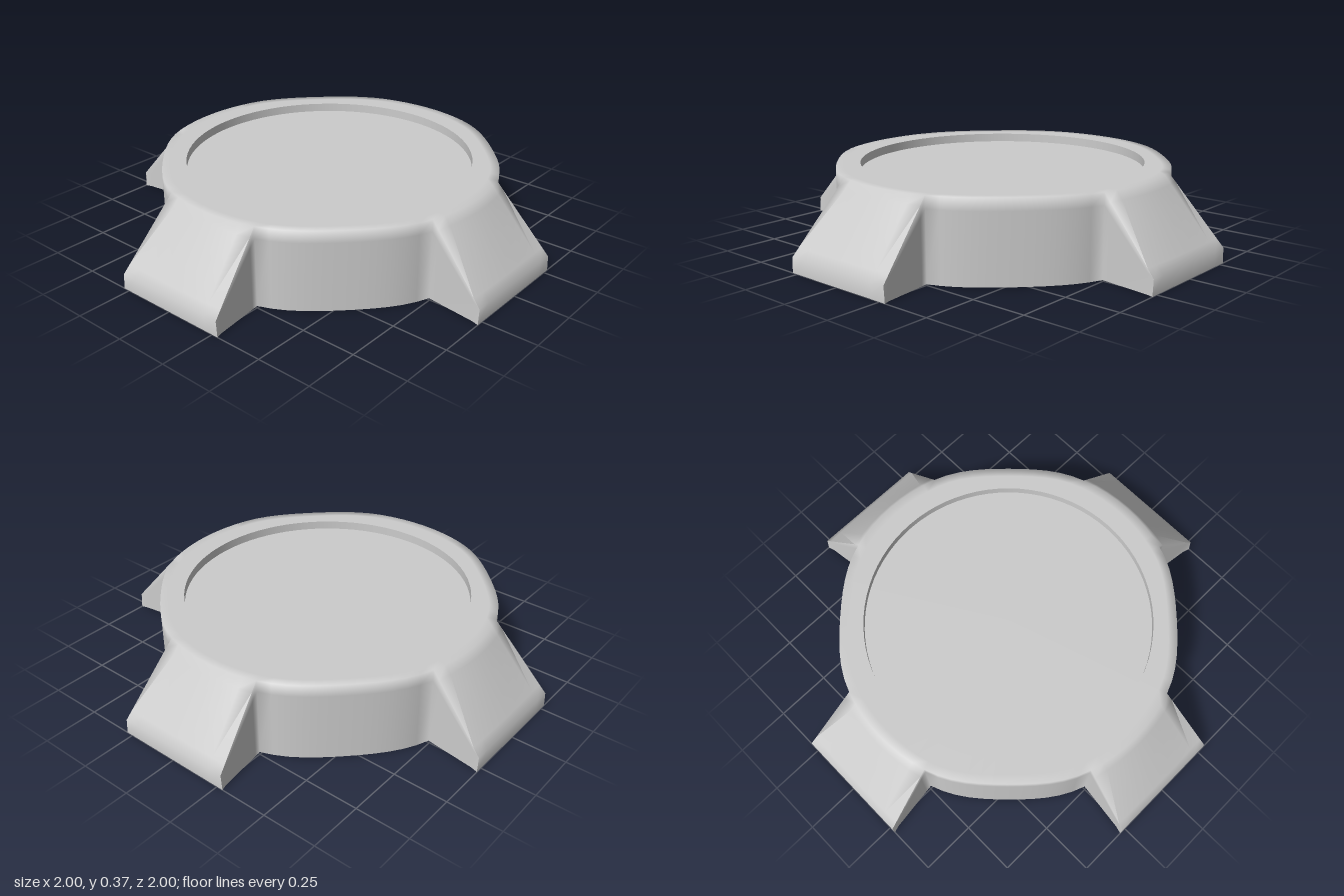
import * as THREE from 'three';
import { mergeGeometries, mergeVertices, toCreasedNormals } from 'three/addons/utils/BufferGeometryUtils.js';

const TOP = 0.365, LIP = 0.07, FLOOR = 0.325, RECESS = 0.65;
const CORNER = Math.PI / 10; // half angle covered by a foot
const STEPS = [0, 0.12, 0.88, 1]; // rim to tip, with loops that tighten the shading

const lerp = THREE.MathUtils.lerp;
const range = (a, b, n) => Array.from({ length: n + 1 }, (_, i) => lerp(a, b, i / n));
const polar = (r, y, a) => [r * Math.sin(a), y, r * Math.cos(a)];

// Plan radius of the body: slightly squared out towards the feet
function bodyRadius(a) {
  if (a <= CORNER) return 0.778;
  return 0.755 + 0.023 * Math.cos(((a - CORNER) / (Math.PI / 2 - 2 * CORNER)) * Math.PI) ** 2;
}

// Surface through columns of points; it faces along (column direction) x (row direction)
function grid(columns) {
  const rows = columns[0].length, index = [];
  for (let i = 0; i < columns.length - 1; i++) {
    for (let j = 0; j < rows - 1; j++) {
      const a = i * rows + j, b = a + rows;
      index.push(a, b, b + 1, a, b + 1, a + 1);
    }
  }
  const g = new THREE.BufferGeometry();
  g.setAttribute('position', new THREE.Float32BufferAttribute(columns.flat(2), 3));
  g.setIndex(index);
  return g;
}

// Point on the sloping top of the front foot: u across (-1..1), t from rim to tip
function footPoint(u, t) {
  const [x, , z] = polar(0.778, 0, u * CORNER);
  return [lerp(x, u * 0.275, t), lerp(TOP, LIP, t), lerp(z, 1, t)];
}

// Upright column below a point
const upright = ([x, y, z]) => [[x, 0, z], [x, y * 0.85, z], [x, y, z]];

function quarterShell() {
  const legAngles = range(-CORNER, CORNER, 8);
  const wallAngles = range(CORNER, Math.PI / 2 - CORNER, 12);

  // Flat rim around the recess
  const rim = grid([...legAngles, ...wallAngles.slice(1)].map((a) => {
    const r = bodyRadius(a);
    return [polar(r, TOP, a), polar(r - 0.04, TOP, a), polar(RECESS, TOP, a)];
  }));

  // Sloping foot top with its short upright lip
  const footTop = grid(range(-1, 1, 8).map((u) => [
    [u * 0.28, 0, 1],
    ...[...STEPS].reverse().map((t) => footPoint(u, t)),
  ]));

  // Foot side, body wall and next foot's side in one run
  const side = STEPS.slice(1).map((t) => {
    const column = upright(footPoint(1, t));
    if (t === 1) column[0][0] = 0.28;
    return column;
  });
  const mirrored = side.map((column) => column.map(([x, y, z]) => [z, y, x]));
  const wall = grid([
    ...side.reverse(),
    ...wallAngles.map((a) => upright(polar(bodyRadius(a), TOP, a))),
    ...mirrored,
  ]);
  return mergeGeometries([rim, footTop, wall]);
}

export function createModel() {
  const group = new THREE.Group();
  const material = new THREE.MeshStandardMaterial({ color: 0xcccccc, side: THREE.DoubleSide });
  const add = (name, geometry) => {
    const mesh = new THREE.Mesh(geometry, material);
    mesh.name = name;
    group.add(mesh);
    return mesh;
  };

  // Hollow body with four feet, open underneath
  const quarters = [0, 1, 2, 3].map((k) => quarterShell().rotateY((k * Math.PI) / 2));
  add('bodyWithFeet', toCreasedNormals(mergeVertices(mergeGeometries(quarters)), 1.6));

  // Round recess in the top
  add('recessFloor', new THREE.CircleGeometry(RECESS, 80).rotateX(-Math.PI / 2)).position.y = FLOOR;
  add('recessWall', new THREE.CylinderGeometry(RECESS, RECESS, TOP - FLOOR, 80, 1, true))
    .position.y = (TOP + FLOOR) / 2;

  return group;
}
